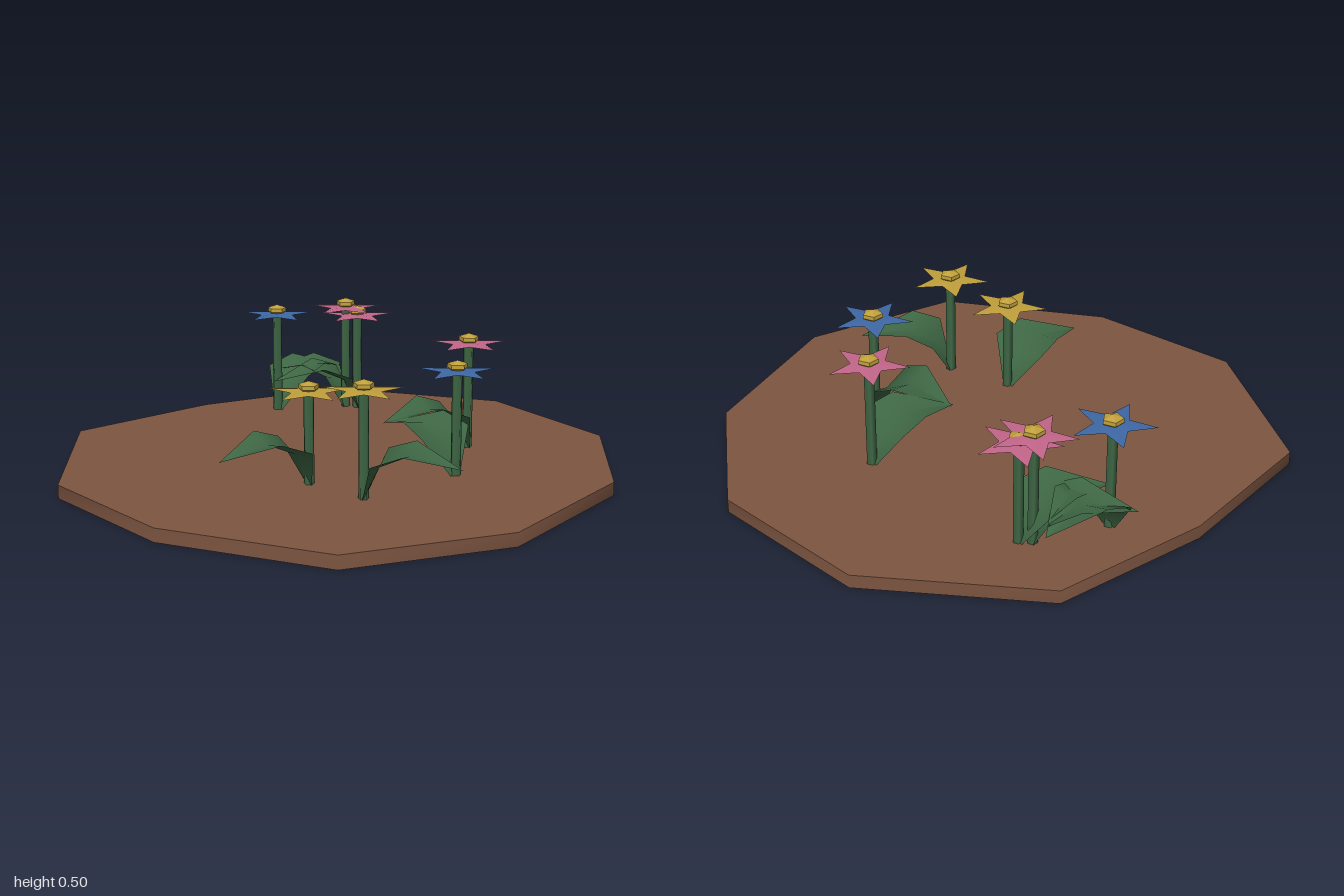
import * as THREE from 'three';

const mat = (name, color, side = THREE.FrontSide) => {
  const m = new THREE.MeshStandardMaterial({ color, side });
  m.name = name;
  return m;
};

function add(parent, name, geo, material, y = 0) {
  const m = new THREE.Mesh(geo, material);
  m.name = name;
  m.position.y = y;
  parent.add(m);
  return m;
}

// Geometry from points and triangles, with smooth normals
function surface(pos, index) {
  const g = new THREE.BufferGeometry();
  g.setAttribute('position', new THREE.Float32BufferAttribute(pos, 3));
  g.setIndex(index);
  g.computeVertexNormals();
  return g;
}

// Five-pointed star, slightly thicker in the middle
function starGeometry() {
  const pos = [], index = [];
  for (const side of [1, -1]) {
    const c = pos.length / 3;
    pos.push(0, side * 0.01, 0);
    for (let i = 0; i < 10; i++) {
      const a = i * Math.PI / 5, r = i % 2 ? 0.064 : 0.15;
      pos.push(r * Math.cos(a), 0, r * Math.sin(a));
      const p = c + 1 + i, q = c + 1 + (i + 1) % 10;
      index.push(c, ...(side > 0 ? [q, p] : [p, q]));
    }
  }
  return surface(pos, index);
}

// Five-sided button in the middle of the star
function centreGeometry() {
  const profile = [[0, 0], [0.024, 0], [0.038, 0.012], [0.037, 0.026], [0, 0.039]];
  const g = new THREE.LatheGeometry(profile.map(p => new THREE.Vector2(...p)), 5)
    .rotateY(Math.PI / 2).toNonIndexed();
  g.computeVertexNormals();
  return g;
}

// Folded leaf along +x: [distance, half width, edge height, vein height]
function leafGeometry() {
  const sections = [
    [0.0, 0.022, 0.045, 0.045],
    [0.055, 0.128, 0.2, 0.165],
    [0.16, 0.11, 0.238, 0.212],
    [0.347, 0, 0.177, 0.177],
  ];
  const pos = [], index = [];
  for (const [d, w, e, v] of sections) pos.push(d, e, -w, d, v, 0, d, e, w);
  for (let s = 0; s < 3; s++) for (let k = 0; k < 2; k++) {
    const a = s * 3 + k, b = a + 1, c = a + 3, d = a + 4;
    if (s < 2) index.push(a, b, c, b, d, c);
    else index.push(a, b, c);
  }
  return surface(pos, index);
}

export function createModel() {
  const model = new THREE.Group();
  model.name = 'flowerBed';
  const soil = mat('soil brown', 0x7d5541, THREE.DoubleSide);
  const green = mat('leaf green', 0x3f6845, THREE.DoubleSide);
  const blue = mat('petal blue', 0x3f68a5);
  const pink = mat('petal pink', 0xc4668a);
  const yellow = mat('flower yellow', 0xc0a03c);

  // Uneven ten-sided soil top with a rim wall, open underneath
  const top = 0.05;
  const outline = [[-0.34, -1], [0.29, -0.99], [0.76, -0.62], [0.98, 0.01], [0.82, 0.61],
    [0.26, 0.95], [-0.34, 0.995], [-0.92, 0.61], [-0.98, 0.01], [-0.89, -0.59]];
  const shape = new THREE.Shape(outline.map(([x, z]) => new THREE.Vector2(x, -z)));
  add(model, 'soilTop', new THREE.ShapeGeometry(shape).rotateX(-Math.PI / 2), soil, top);
  const wall = [], wallIndex = [], n = outline.length;
  outline.forEach(([x, z], i) => {
    wall.push(x, 0, z, x, top, z);
    const a = 2 * i, b = 2 * ((i + 1) % n);
    wallIndex.push(a, a + 1, b, b, a + 1, b + 1);
  });
  add(model, 'soilRim', surface(wall, wallIndex), soil);

  // Flowers: x, z, petal height, petal colour, leaf heading in degrees from +x towards +z
  const flowers = [
    [0.11, -0.48, 0.447, pink, 102],
    [0.372, -0.217, 0.432, blue, 170],
    [0.402, 0.21, 0.432, yellow, -39],
    [0.155, 0.267, 0.383, yellow, 96],
    [-0.755, -0.197, 0.442, blue, -94],
    [-0.638, -0.45, 0.459, pink, 138],
    [-0.6, -0.48, 0.43, pink, 110],
  ];
  const star = starGeometry(), centre = centreGeometry(), leaf = leafGeometry();
  const foot = 0.04;
  for (const [x, z, h, petals, heading] of flowers) {
    const flower = new THREE.Group();
    flower.name = 'flower';
    flower.position.set(x, 0, z);
    add(flower, 'stem', new THREE.CylinderGeometry(0.019, 0.019, h - foot, 5, 1, true)
      .rotateY(Math.PI / 2), green, (h + foot) / 2);
    add(flower, 'petals', star, petals, h);
    add(flower, 'flowerCentre', centre, yellow, h);
    add(flower, 'leaf', leaf, green).rotation.y = -THREE.MathUtils.degToRad(heading);
    model.add(flower);
  }
  return model;
}
